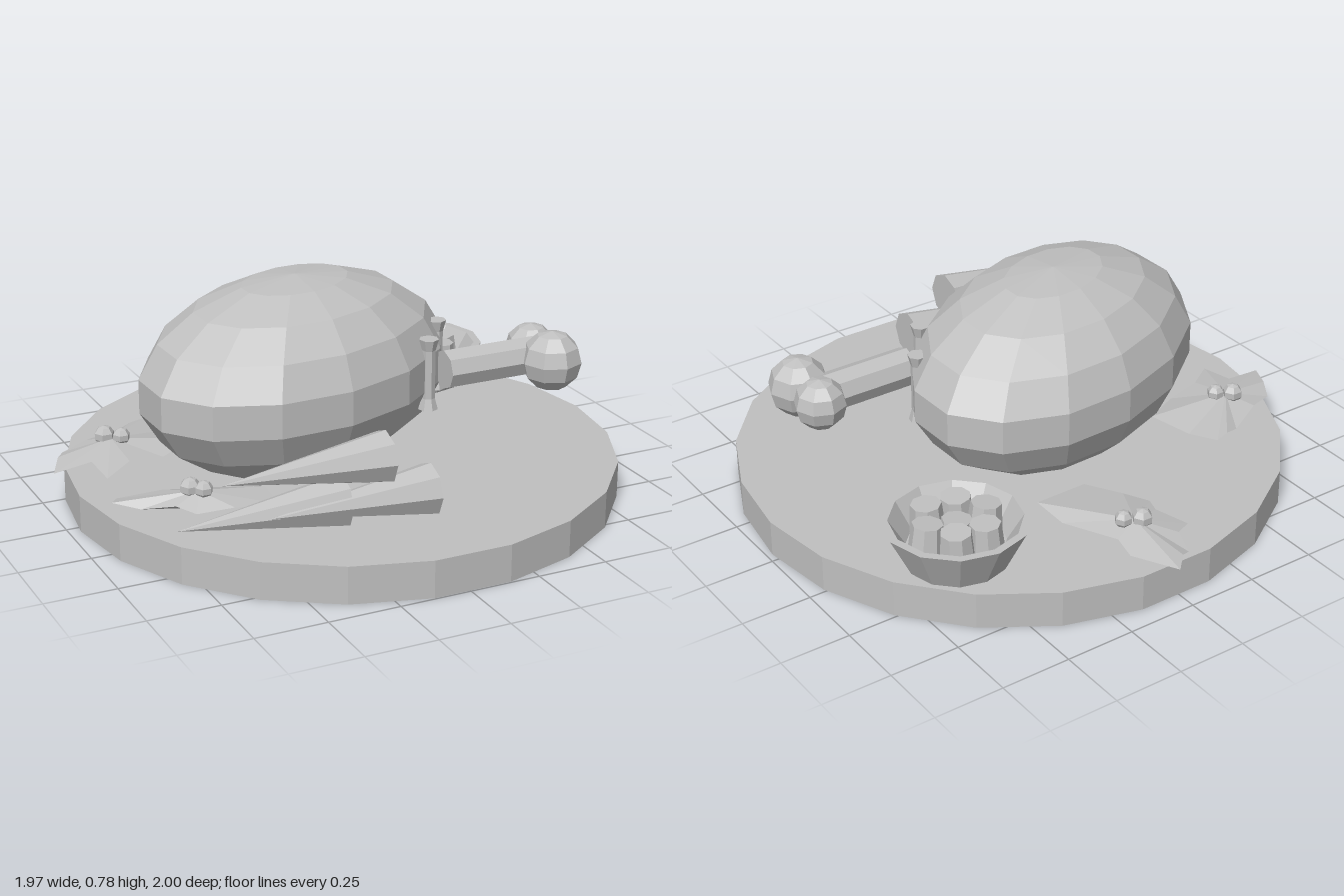
import * as THREE from 'three';

const clay = new THREE.MeshStandardMaterial({ color: 0xc0c0c0, flatShading: true, side: THREE.DoubleSide });
clay.name = 'plain grey';

export function createModel() {
  const root = new THREE.Group();
  root.name = 'roastPlatter';

  const add = (name, geometry, x, y, z) => {
    const mesh = new THREE.Mesh(geometry, clay);
    mesh.name = name;
    mesh.position.set(x, y, z);
    root.add(mesh);
    return mesh;
  };
  const lathe = (points, sides) =>
    new THREE.LatheGeometry(points.map(([r, y]) => new THREE.Vector2(r, y)), sides);

  // Round board
  add('platter', new THREE.CylinderGeometry(0.97, 0.97, 0.13, 22), 0.01, 0.065, 0.035).rotation.y = Math.PI / 2;

  // Roast body
  const body = add('roastBody', new THREE.SphereGeometry(1, 14, 9), -0.14, 0.435, -0.018);
  body.scale.set(0.628, 0.347, 0.427);
  body.rotation.y = 0.35;

  // Leg bone with two knuckles
  add('legBone', new THREE.CylinderGeometry(0.07, 0.07, 0.36, 8), 0.5, 0.435, 0.21).rotation.z = Math.PI / 2;
  add('frontKnuckle', new THREE.SphereGeometry(0.108, 8, 6), 0.7, 0.44, 0.3);
  add('rearKnuckle', new THREE.SphereGeometry(0.092, 8, 6), 0.7, 0.44, 0.155);

  // Flared pegs beside the leg
  const pegProfile = [[0, 0], [0.035, 0], [0.024, 0.04], [0.024, 0.215], [0.035, 0.255], [0, 0.255]];
  for (const [x, z] of [[0.25, 0.23], [0.37, 0.06]]) add('peg', lathe(pegProfile, 7), x, 0.31, z);

  // Bowl and its filling
  const bowlX = 0.578, bowlZ = -0.485;
  add('bowl', lathe([[0, 0], [0.175, 0], [0.25, 0.153], [0.222, 0.153], [0.165, 0.06], [0, 0.06]], 12), bowlX, 0.13, bowlZ);
  for (let i = 0; i < 7; i++) {
    const a = (i / 6) * Math.PI * 2 + 0.05;
    const r = i < 6 ? 0.11 : 0;
    const piece = add('vegetablePiece', new THREE.CylinderGeometry(0.052, 0.06, 0.1, 8),
      bowlX + Math.cos(a) * r, i < 6 ? 0.245 + 0.006 * (i % 2) : 0.225, bowlZ + Math.sin(a) * r);
    piece.rotation.set(0.12 * Math.sin(a * 2), a, 0.1 * Math.cos(a * 3));
  }

  // Carrots lying with their tips to the right
  for (const [baseX, y, z] of [[0.01, 0.235, 0.7], [-0.14, 0.365, 0.672], [-0.285, 0.23, 0.65]]) {
    add('carrot', new THREE.ConeGeometry(0.09, 0.57, 8), baseX - 0.285, y, z).rotation.z = Math.PI / 2;
  }

  // Jagged leaves: an outline raised to a ridge point, closed below
  const leaf = (outline, [cx, cz]) => {
    const p = [];
    outline.forEach(([x, z], i) => {
      const j = (i + 1) % outline.length;
      const [nx, nz] = outline[j];
      const y = i % 2 ? 0.15 : 0.165, ny = j % 2 ? 0.15 : 0.165;
      p.push(cx, 0.195, cz, nx, ny, nz, x, y, z);
      p.push(cx, 0.132, cz, x, y, z, nx, ny, nz);
    });
    const g = new THREE.BufferGeometry();
    g.setAttribute('position', new THREE.Float32BufferAttribute(p, 3));
    g.computeVertexNormals();
    return g;
  };
  const leaves = [
    { centre: [0.03, -0.72], berries: [[0.01, -0.735], [0.065, -0.705]],
      outline: [[0.06, -1], [0.13, -0.83], [0.12, -0.75], [0.2, -0.55], [0.21, -0.42], [0, -0.4],
        [-0.06, -0.54], [-0.12, -0.61], [-0.09, -0.68], [-0.14, -0.79], [-0.07, -0.83], [-0.04, -0.92], [0, -0.94]] },
    { centre: [-0.74, -0.26], berries: [[-0.755, -0.28], [-0.705, -0.245]],
      outline: [[-0.54, -0.46], [-0.5, -0.35], [-0.45, -0.2], [-0.6, -0.12], [-0.73, -0.1], [-0.84, -0.02],
        [-0.85, -0.15], [-0.99, -0.14], [-0.94, -0.24], [-0.9, -0.31], [-0.8, -0.35], [-0.66, -0.42], [-0.6, -0.44]] },
    { centre: [-0.64, 0.3], berries: [[-0.66, 0.28], [-0.625, 0.315]],
      outline: [[-0.91, 0.21], [-0.87, 0.15], [-0.72, 0.18], [-0.55, 0.2], [-0.4, 0.3], [-0.4, 0.43],
        [-0.56, 0.42], [-0.68, 0.385], [-0.73, 0.33], [-0.83, 0.27]] },
  ];
  for (const { outline, centre, berries } of leaves) {
    add('leaf', leaf(outline, centre), 0, 0, 0);
    berries.forEach(([x, z], i) => add('berry', new THREE.SphereGeometry(0.037 - i * 0.005, 6, 5), x, 0.2, z));
  }
  return root;
}
